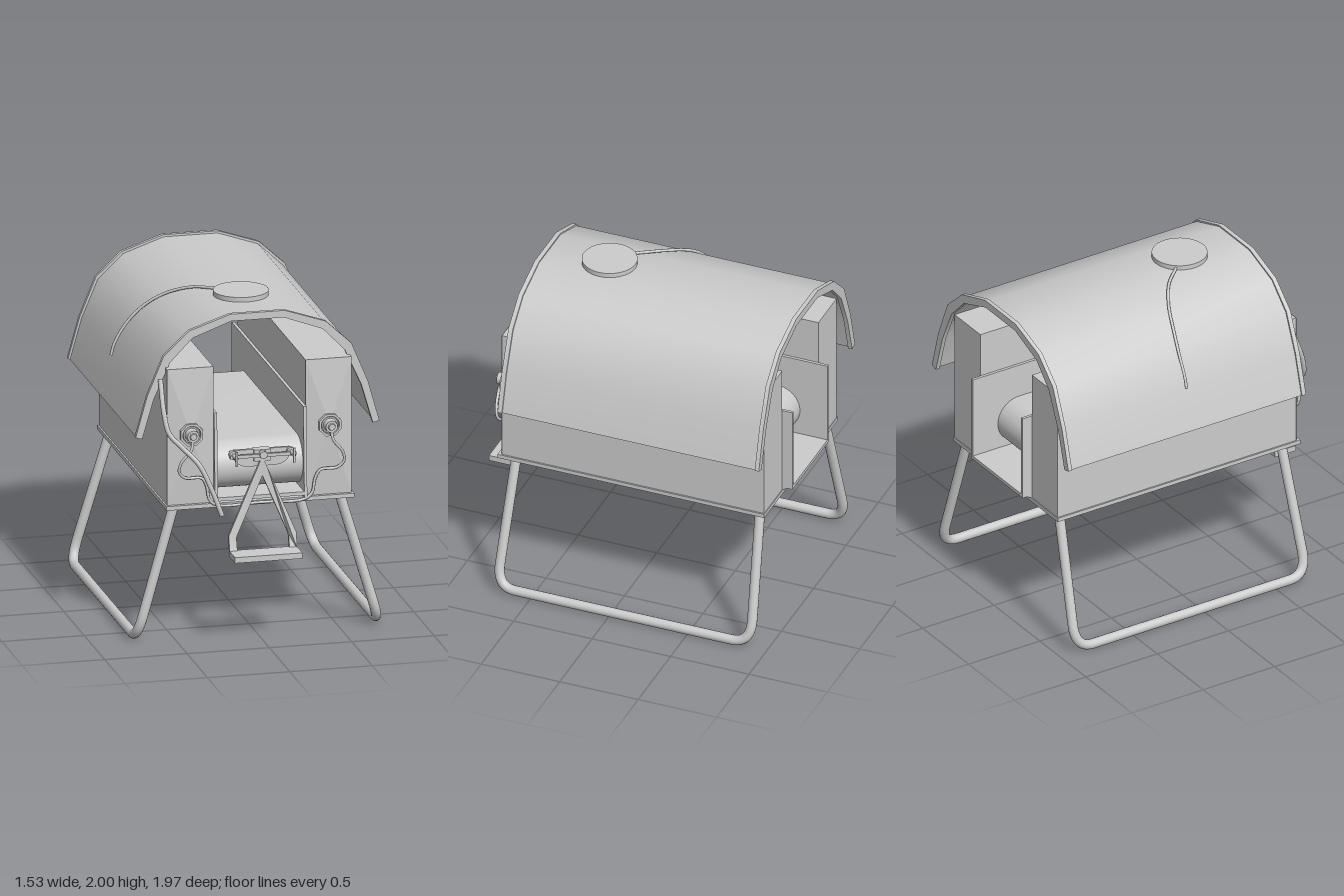
import * as THREE from 'three';
import { toCreasedNormals } from 'three/addons/utils/BufferGeometryUtils.js';

const mat = new THREE.MeshStandardMaterial({ color: 0xcccccc, side: THREE.DoubleSide });
const V = (p) => new THREE.Vector3(...p);

export function createModel() {
  const model = new THREE.Group();

  const add = (name, geo, x = 0, y = 0, z = 0, parent = model) => {
    const m = new THREE.Mesh(geo, mat);
    m.name = name;
    m.position.set(x, y, z);
    parent.add(m);
    return m;
  };
  // Box given by its min and max on each axis
  const box = (name, x0, x1, y0, y1, z0, z1, parent) =>
    add(name, new THREE.BoxGeometry(x1 - x0, y1 - y0, z1 - z0),
      (x0 + x1) / 2, (y0 + y1) / 2, (z0 + z1) / 2, parent);
  // Cylinder lying along z from z0 to z1
  const rod = (name, r, x, y, z0, z1, sides = 16, r2 = r, parent = model) =>
    add(name, new THREE.CylinderGeometry(r2, r, z1 - z0, sides).rotateX(Math.PI / 2),
      x, y, (z0 + z1) / 2, parent);
  const tube = (name, pts, r, parent) =>
    add(name, new THREE.TubeGeometry(new THREE.CatmullRomCurve3(pts.map(V)), 60, r, 10), 0, 0, 0, parent);
  const polygon = (pts) => new THREE.Shape(pts.map((p) => new THREE.Vector2(...p)));
  const extrude = (shape, depth) =>
    toCreasedNormals(new THREE.ExtrudeGeometry(shape, { depth, bevelEnabled: false, curveSegments: 20 }), 0.6);
  // Extrudes a (z, y) outline along x, centred on x = 0
  const extrudeX = (shape, width) =>
    extrude(shape, width).translate(0, 0, -width / 2).rotateY(-Math.PI / 2);

  // Base plate and hull sides
  box('basePlate', -0.57, 0.57, 0.82, 0.845, -0.92, 0.78);
  for (const s of [-1, 1]) {
    const side = new THREE.Group();
    side.name = s > 0 ? 'leftSide' : 'rightSide';
    model.add(side);
    add('hullSide', new THREE.BoxGeometry(0.28, 0.84, 1.67), s * 0.42, 1.26, -0.08, side);

    // Shallow raised front panel
    const c = [[0.28, 0.845], [0.56, 0.845], [0.56, 1.68], [0.28, 1.68]].map(([x, y]) => [s * x, y]);
    if (s < 0) c.reverse();
    const verts = [];
    c.forEach((p, i) => {
      const q = c[(i + 1) % 4];
      verts.push(...p, 0.757, ...q, 0.757, s * 0.42, 1.28, 0.785);
    });
    const panel = new THREE.BufferGeometry();
    panel.setAttribute('position', new THREE.Float32BufferAttribute(verts, 3));
    panel.computeVertexNormals();
    add('frontPanel', panel, 0, 0, 0, side);

    // Octagonal socket with its knob
    const ring = polygon(Array.from({ length: 8 }, (_, i) => {
      const a = (i + 0.5) * Math.PI / 4;
      return [Math.cos(a) * 0.072, Math.sin(a) * 0.072];
    }));
    ring.holes.push(new THREE.Path().absarc(0, 0, 0.055, 0, Math.PI * 2));
    add('socketRing', extrude(ring, 0.03), s * 0.42, 1.28, 0.77, side);
    rod('socketBase', 0.055, s * 0.42, 1.28, 0.76, 0.79, 16, 0.05, side);
    rod('socketKnob', 0.042, s * 0.42, 1.28, 0.78, 0.835, 16, 0.036, side);
    rod('socketTip', 0.025, s * 0.42, 1.28, 0.83, 0.845, 8, 0.02, side);

    // Cable from the socket to the tray
    tube('socketCable', [[0.42, 1.26, 0.82], [0.43, 1.2, 0.83], [0.49, 1.12, 0.82], [0.5, 1.06, 0.81],
      [0.46, 1.02, 0.8], [0.36, 1.01, 0.795], [0.33, 0.96, 0.79], [0.31, 0.87, 0.79],
      [0.26, 0.835, 0.79], [0, 0.835, 0.79]].map(([x, y, z]) => [s * x, y, z]), 0.009, side);

    // Side wall of the inner tray, sloped at the front
    add('trayWall', extrudeX(polygon([[-0.98, 0.875], [-0.92, 0.845], [0.8, 0.845], [0.775, 1.4], [-0.98, 1.4]]), 0.018),
      s * 0.271, 0, 0, side);

    // Bent tube leg, splayed outward
    const at = (y, z) => V([s * (0.735 - (y - 0.03) * 0.293), y, z]);
    const leg = new THREE.CurvePath();
    leg.add(new THREE.LineCurve3(at(0.84, 0.685), at(0.17, 0.712)));
    leg.add(new THREE.QuadraticBezierCurve3(at(0.17, 0.712), at(0.03, 0.717), at(0.03, 0.6)));
    leg.add(new THREE.LineCurve3(at(0.03, 0.6), at(0.03, -0.78)));
    leg.add(new THREE.QuadraticBezierCurve3(at(0.03, -0.78), at(0.03, -0.9), at(0.17, -0.895)));
    leg.add(new THREE.LineCurve3(at(0.17, -0.895), at(0.84, -0.865)));
    add('leg', new THREE.TubeGeometry(leg, 140, 0.03, 14), 0, 0, 0, side);
  }

  // Inner tray floor and the belt with rounded ends
  box('trayFloor', -0.28, 0.28, 0.86, 0.882, -0.98, 0.797);
  const belt = new THREE.Shape();
  belt.absarc(0.625, 1.045, 0.145, -Math.PI / 2, Math.PI / 2);
  belt.absarc(-0.66, 1.045, 0.145, Math.PI / 2, Math.PI * 1.5);
  add('belt', extrudeX(belt, 0.522));

  // Faceted canopy: one half of the outer and inner lines, mirrored
  const outer = [[0.74, 1.26], [0.67, 1.51], [0.57, 1.75], [0.415, 1.895], [0.165, 1.98]];
  const inner = [[0.7, 1.25], [0.63, 1.49], [0.53, 1.71], [0.395, 1.85], [0.16, 1.937]];
  const full = (half) => [...half, ...half.map(([x, y]) => [-x, y]).reverse()];
  const blend = (t) => full(outer.map((p, i) => p.map((v, k) => v + (inner[i][k] - v) * t)));
  const arch = (t0, t1, depth) => extrude(polygon([...blend(t0), ...blend(t1).reverse()]), depth);
  add('canopy', arch(0.2, 0.7, 1.62), 0, 0, -0.93);
  add('frontCanopyRib', arch(0, 1, 0.028), 0, 0, 0.682);
  add('rearCanopyRib', arch(-0.1, 1, 0.026), 0, 0, -0.957);

  // Roof cap and its cable
  add('roofCap', new THREE.CylinderGeometry(0.165, 0.165, 0.03, 40), 0, 1.985, 0.3);
  tube('roofCable', [[-0.13, 1.985, 0.19], [-0.24, 1.965, 0.07], [-0.38, 1.91, -0.02], [-0.5, 1.83, -0.065],
    [-0.6, 1.72, -0.09], [-0.67, 1.6, -0.095], [-0.69, 1.53, -0.095]], 0.009);

  // Hanging hose on the front
  tube('hose', [[-0.59, 1.61, 0.71], [-0.585, 1.42, 0.78], [-0.56, 1.3, 0.81], [-0.49, 1.22, 0.83],
    [-0.39, 1.11, 0.86], [-0.32, 0.96, 0.88], [-0.26, 0.8, 0.89]], 0.015);

  // Bracket plate with rounded lower edge
  const bracket = new THREE.Group();
  bracket.name = 'stepBracket';
  model.add(bracket);
  const plate = polygon([[-0.17, 1.17], [-0.17, 1.12]]);
  plate.quadraticCurveTo(-0.15, 1.065, -0.07, 1.065);
  plate.lineTo(0.07, 1.065);
  plate.quadraticCurveTo(0.15, 1.065, 0.17, 1.12);
  plate.lineTo(0.17, 1.17);
  add('bracketPlate', extrude(plate, 0.02), 0, 0, 0.79, bracket);
  box('bracketBar', -0.2, 0.2, 1.13, 1.15, 0.835, 0.852, bracket);
  box('pivotBlock', -0.05, 0.05, 1.1, 1.17, 0.77, 0.83, bracket);
  rod('pivotPin', 0.024, 0, 1.145, 0.77, 0.865, 8, 0.024, bracket);
  for (const s of [-1, 1]) {
    rod('bolt', 0.012, s * 0.175, 1.145, 0.76, 0.9, 10, 0.012, bracket);
    rod('boltCollar', 0.026, s * 0.175, 1.145, 0.8, 0.83, 12, 0.026, bracket);
    box('boltHandle', s * 0.175 - 0.006, s * 0.175 + 0.006, 1.1, 1.19, 0.9, 0.91, bracket);
  }

  // Hanging step: two splayed flat arms and a tread
  const step = new THREE.Group();
  step.name = 'footStep';
  model.add(step);
  for (const s of [-1, 1]) {
    const arm = polygon([[0, 1.13], [0.03, 1.06], [0.205, 0.65], [0.205, 0.55], [0.158, 0.55], [0.158, 0.64], [0, 1.01]]
      .map(([x, y]) => [s * x, y]));
    const geo = extrude(arm, 0.022).translate(0, 0, 0.808);
    // Lower end kicks forward to meet the tread
    const p = geo.attributes.position;
    for (let i = 0; i < p.count; i++) if (p.getY(i) < 0.6) p.setZ(i, p.getZ(i) + 0.03);
    add('stepArm', toCreasedNormals(geo, 0.5), 0, 0, 0, step);
  }
  box('stepTread', -0.205, 0.205, 0.53, 0.565, 0.838, 0.985, step);

  return model;
}
